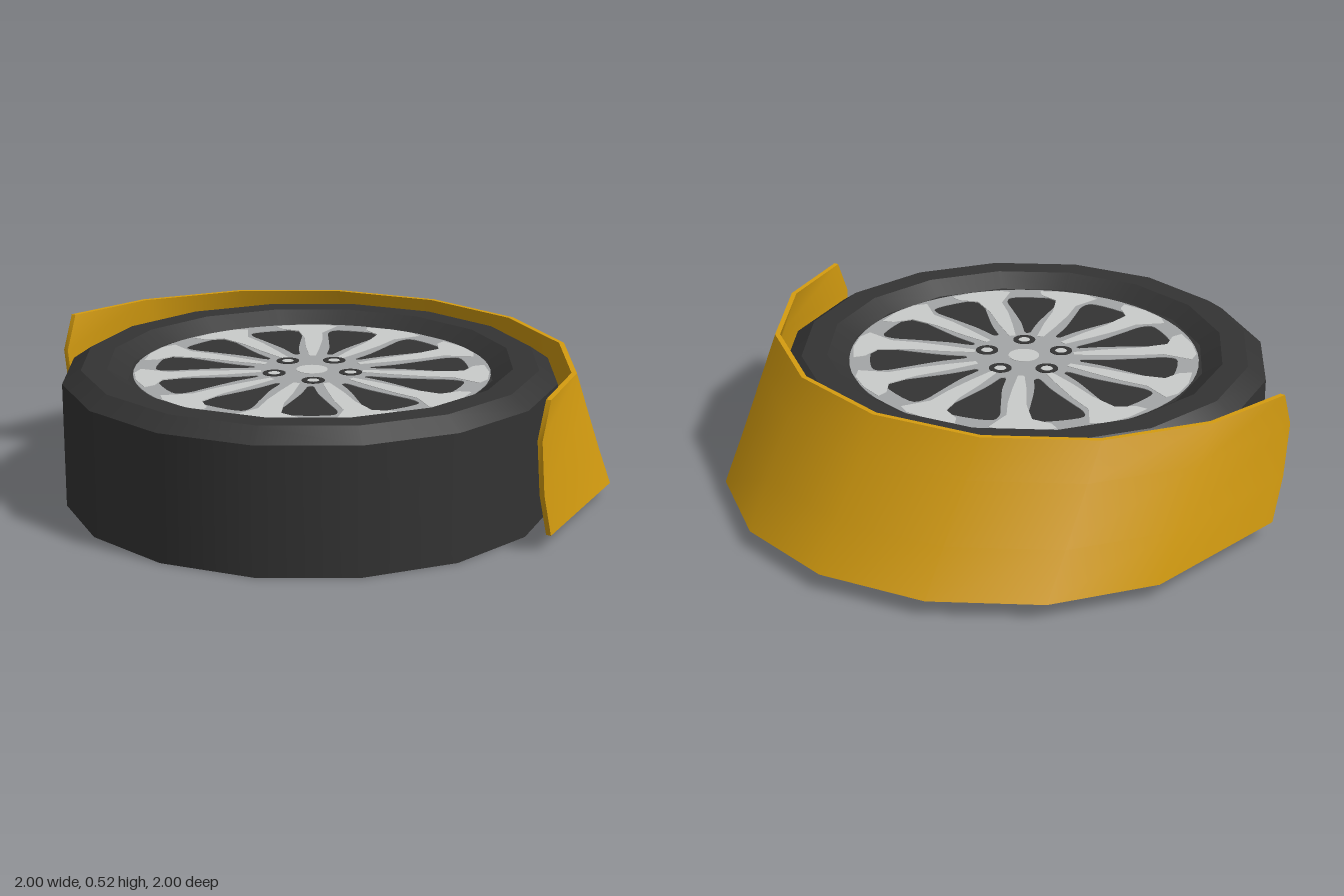
import * as THREE from 'three';

const mat = (name, color, side = THREE.FrontSide) => {
  const m = new THREE.MeshStandardMaterial({ color, side });
  m.name = name;
  return m;
};

// Smooth grid surface through equal-length rows of points
function sheet(rows) {
  const n = rows[0].length, index = [];
  for (let i = 0; i < rows.length - 1; i++) {
    for (let j = 0; j < n - 1; j++) {
      const a = i * n + j, b = a + 1, c = a + n, d = c + 1;
      index.push(a, c, b, b, c, d);
    }
  }
  const g = new THREE.BufferGeometry();
  g.setAttribute('position', new THREE.Float32BufferAttribute(rows.flat(2), 3));
  g.setIndex(index);
  g.computeVertexNormals();
  return g;
}

export function createModel() {
  const model = new THREE.Group();
  const rubber = mat('black rubber', 0x333333, THREE.DoubleSide);
  const silver = mat('light silver', 0xc9cbca);
  const grey = mat('mid grey', 0xa3a5a6);
  const gold = mat('gold paint', 0xd49c10, THREE.DoubleSide);

  const add = (parent, name, geometry, material) => {
    const mesh = new THREE.Mesh(geometry, material);
    mesh.name = name;
    parent.add(mesh);
    return mesh;
  };

  // Wheel lies flat, open underneath
  const wheel = new THREE.Group();
  wheel.name = 'wheel';
  wheel.position.z = 0.13;
  model.add(wheel);
  const lathe = (name, pts) =>
    add(wheel, name, new THREE.LatheGeometry(pts.map(p => new THREE.Vector2(...p)), 16), rubber);
  lathe('tread', [[0.865, 0], [0.865, 0.44]]);
  lathe('shoulder', [[0.865, 0.44], [0.8, 0.485]]);
  lathe('sidewall', [[0.8, 0.485], [0.71, 0.485]]);
  lathe('bead', [[0.71, 0.485], [0.64, 0.44]]);
  lathe('rimBacking', [[0.64, 0.44], [0, 0.44]]);

  // Thin plates centred on the backing, so the rim shows from both sides
  const polar = (r, a) => new THREE.Vector2(r * Math.sin(a), r * Math.cos(a));
  const plate = (name, shapes, depth, material) => {
    const g = new THREE.ExtrudeGeometry(shapes, { depth, bevelEnabled: false, curveSegments: 32 });
    g.rotateX(-Math.PI / 2);
    g.translate(0, 0.44 - depth / 2, -0.01);
    add(wheel, name, g, material);
  };
  const disc = (r, x = 0, y = 0) => new THREE.Shape().absarc(x, y, r, 0, Math.PI * 2);
  const SPOKES = 11, step = (Math.PI * 2) / SPOKES;

  // Rim face with teardrop openings between the spokes
  const rim = disc(0.625);
  const windowSide = [[0.21, 0.05], [0.3, 0.1], [0.42, 0.165], [0.51, 0.19], [0.55, 0.13]];
  for (let i = 0; i < SPOKES; i++) {
    const a = (i + 0.5) * step;
    const pts = [
      ...windowSide.map(([r, w]) => polar(r, a + w)),
      ...windowSide.slice().reverse().map(([r, w]) => polar(r, a - w)),
    ];
    rim.holes.push(new THREE.Path(new THREE.SplineCurve([...pts, pts[0]]).getPoints(36).slice(0, -1)));
  }
  plate('rimFace', rim, 0.005, grey);

  // Bright streak along each spoke, spreading into the rim edge
  const highlights = [];
  for (let i = 0; i < SPOKES; i++) {
    const a = i * step;
    const pts = [
      [0.18, -0.08], [0.3, -0.1], [0.42, -0.09], [0.53, -0.12], [0.57, -0.23], [0.61, -0.25],
      [0.62, -0.1], [0.62, 0.05], [0.6, 0.13], [0.5, 0.05], [0.4, 0.07], [0.28, 0.07], [0.18, 0.05],
    ];
    highlights.push(new THREE.Shape(pts.map(([r, t]) => polar(r, a + t))));
  }
  plate('spokeHighlights', highlights, 0.008, silver);

  // Hub cap and five wheel nuts
  plate('hubCap', disc(0.055), 0.008, silver);
  const nuts = [], nutCentres = [];
  for (let i = 0; i < 5; i++) {
    const p = polar(0.14, (i * Math.PI * 2) / 5);
    const ring = disc(0.04, p.x, p.y);
    ring.holes.push(new THREE.Path().absarc(p.x, p.y, 0.022, 0, Math.PI * 2));
    nuts.push(ring);
    nutCentres.push(disc(0.02, p.x, p.y));
  }
  plate('nutSockets', nuts, 0.009, rubber);
  plate('nuts', nutCentres, 0.009, silver);

  // Arched fender: one curved section leaning forward as it rises
  const fender = new THREE.Group();
  fender.name = 'fender';
  model.add(fender);
  // Each level: height, forward lean, z of the trimmed ends
  const levels = [[0.055, 0, 0.205], [0.21, 0.1, 0.26], [0.4, 0.215, 0.285], [0.525, 0.29, 0.235]];
  const shell = inset => levels.map(([y, lean, end]) => {
    const row = [];
    for (let i = -4; i <= 4; i++) {
      const a = (i * Math.PI) / 8, tip = Math.abs(i) === 4;
      const r = 1 - inset;
      row.push([Math.sin(a) * r, y, tip ? end : lean - Math.cos(a) * r]);
    }
    return row;
  });
  const outer = shell(0), inner = shell(0.018);
  add(fender, 'fenderOuter', sheet(outer), gold);
  add(fender, 'fenderInner', sheet(inner.map(r => r.slice().reverse())), gold);
  add(fender, 'fenderTopEdge', sheet([outer[3], inner[3]]), gold);
  add(fender, 'fenderBottomEdge', sheet([inner[0], outer[0]]), gold);
  for (const [name, k] of [['fenderRightEnd', 0], ['fenderLeftEnd', 8]]) {
    add(fender, name, sheet([outer.map(r => r[k]), inner.map(r => r[k])]), gold);
  }
  return model;
}
